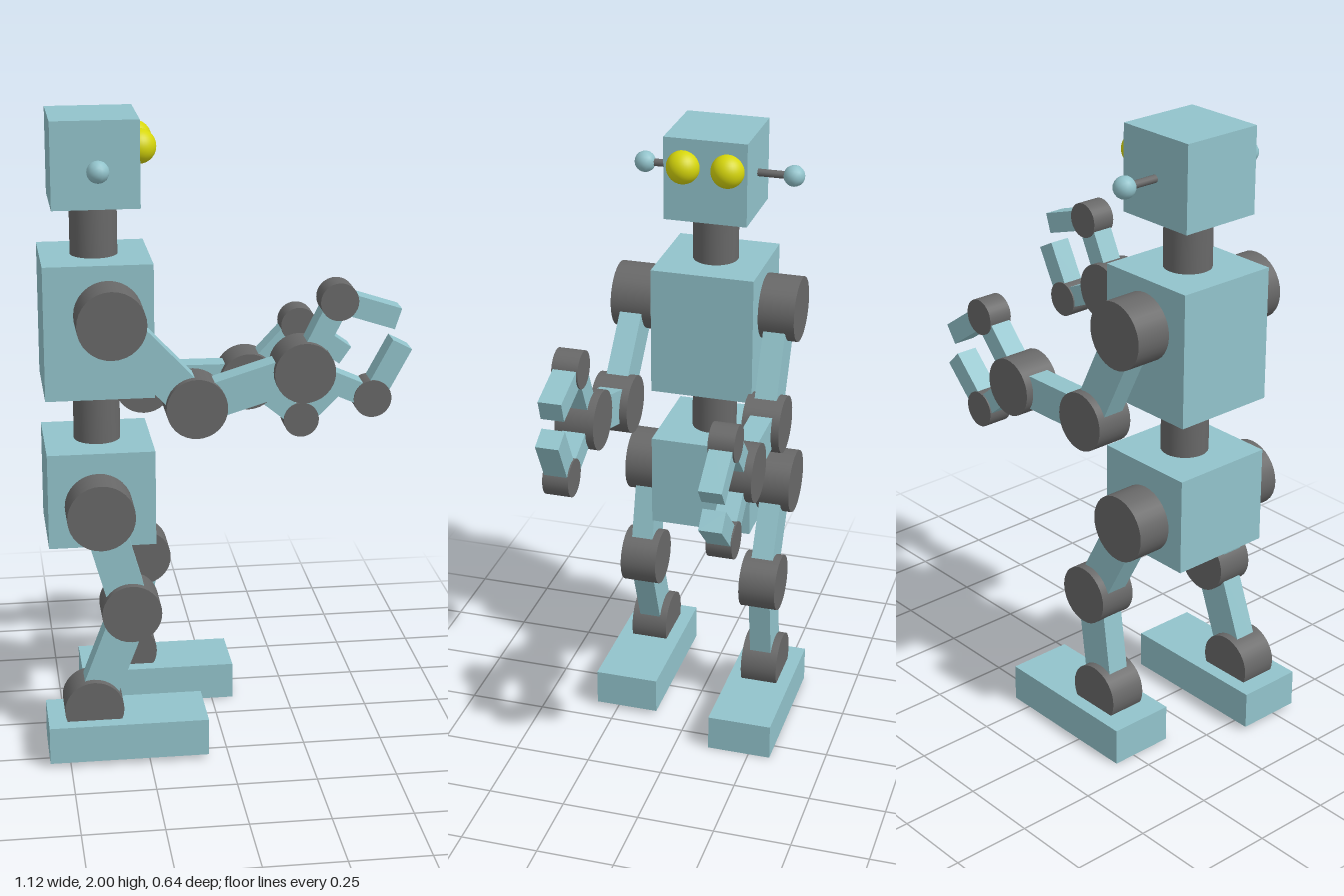
import * as THREE from 'three';

export function createModel() {
  const model = new THREE.Group();
  const mat = (name, color) => {
    const m = new THREE.MeshStandardMaterial({ color });
    m.name = name;
    return m;
  };
  const blue = mat('pale blue panel', 0x92c3cb);
  const grey = mat('dark grey joint', 0x686868);
  const yellow = mat('yellow eye', 0xd6d60c);

  const add = (parent, name, geo, material, x, y, z) => {
    const mesh = new THREE.Mesh(geo, material);
    mesh.name = name;
    mesh.position.set(x, y, z);
    parent.add(mesh);
    return mesh;
  };
  const group = (name) => {
    const g = new THREE.Group();
    g.name = name;
    model.add(g);
    return g;
  };
  const box = (parent, name, [w, h, d], x, y, z) =>
    add(parent, name, new THREE.BoxGeometry(w, h, d), blue, x, y, z);

  // Round joint with its axis along z
  const joint = (parent, name, [x, y], r, z, depth) => {
    const geo = new THREE.CylinderGeometry(r, r, depth, 32).rotateX(Math.PI / 2);
    return add(parent, name, geo, grey, x, y, z);
  };
  // Bar running from point a to point b in the xy plane
  const bar = (parent, name, a, b, width, z) => {
    const dx = b[0] - a[0], dy = b[1] - a[1];
    const mesh = box(parent, name, [Math.hypot(dx, dy), width, 0.072],
      (a[0] + b[0]) / 2, (a[1] + b[1]) / 2, z);
    mesh.rotation.z = Math.atan2(dy, dx);
    return mesh;
  };

  // Head, body and spine
  const cx = -0.377;
  const body = group('body');
  box(body, 'head', [0.267, 0.267, 0.267], cx, 1.867, -0.003);
  box(body, 'torso', [0.334, 0.418, 0.334], cx, 1.362, -0.003);
  box(body, 'pelvis', [0.334, 0.305, 0.334], cx, 0.827, -0.003);
  for (const [name, y, h] of [['neck', 1.655, 0.19], ['waist', 1.067, 0.2]]) {
    add(body, name, new THREE.CylinderGeometry(0.073, 0.073, h, 32), grey, cx, y, -0.003);
  }

  // Eyes and side antennae
  for (const s of [-1, 1]) {
    add(body, 'eye', new THREE.SphereGeometry(0.053, 32, 20), yellow, -0.242, 1.91, -0.004 + s * 0.071);
    const rod = new THREE.CylinderGeometry(0.012, 0.012, 0.13, 12).rotateX(Math.PI / 2);
    add(body, 'antennaRod', rod, grey, cx, 1.867, -0.011 + s * 0.175);
    add(body, 'antennaTip', new THREE.IcosahedronGeometry(0.034, 2), blue, cx, 1.867, -0.011 + s * 0.241);
  }

  // Arm: shoulder, elbow, wrist and two bent fingers
  const arm = (name, z, shoulder, elbow, wrist, fingers) => {
    const g = group(name);
    joint(g, 'shoulder', shoulder, 0.105, z, 0.132);
    bar(g, 'upperArm', shoulder, elbow, 0.12, z);
    joint(g, 'elbow', elbow, 0.093, z, 0.122);
    bar(g, 'forearm', elbow, wrist, 0.11, z);
    joint(g, 'wrist', wrist, 0.093, z, 0.122);
    for (const [knuckle, tip] of fingers) {
      bar(g, 'fingerBase', wrist, knuckle, 0.067, z);
      joint(g, 'knuckle', knuckle, 0.058, z, 0.081);
      bar(g, 'fingerTip', knuckle, tip, 0.067, z);
    }
  };
  arm('rightArm', 0.243, [-0.35, 1.423], [-0.097, 1.155], [0.23, 1.254], [
    [[0.335, 1.466], [0.515, 1.407]],
    [[0.441, 1.16], [0.53, 1.326]],
  ]);
  arm('leftArm', -0.221, [-0.375, 1.425], [-0.212, 1.093], [0.128, 1.09], [
    [[0.293, 1.268], [0.447, 1.16]],
    [[0.305, 0.947], [0.439, 1.079]],
  ]);

  // Leg: hip, knee, ankle and flat foot
  const leg = (name, z, hip, knee, ankle, foot) => {
    const g = group(name);
    joint(g, 'hip', hip, 0.105, z, 0.13);
    bar(g, 'thigh', hip, knee, 0.122, z);
    joint(g, 'knee', knee, 0.093, z, 0.122);
    bar(g, 'shin', knee, ankle, 0.115, z);
    joint(g, 'ankle', ankle, 0.093, z, 0.122);
    box(g, 'foot', [0.5, 0.12, 0.21], foot[0], foot[1], z);
  };
  leg('rightLeg', 0.215, [-0.388, 0.81], [-0.298, 0.488], [-0.42, 0.17], [-0.315, 0.075]);
  leg('leftLeg', -0.217, [-0.385, 0.8], [-0.223, 0.5], [-0.272, 0.165], [-0.18, 0.06]);

  return model;
}
